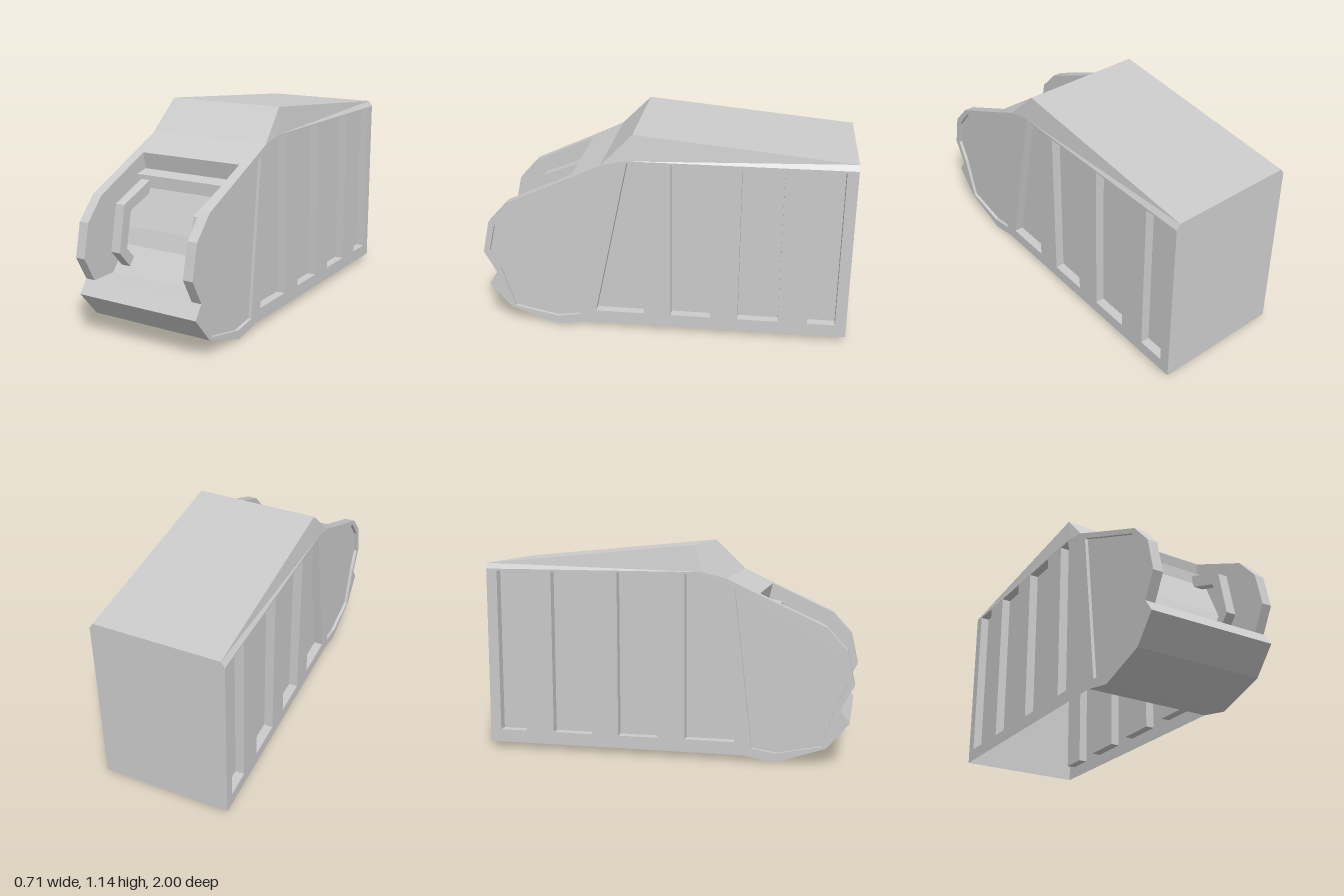
import * as THREE from 'three';

const W = 0.355, ROOF = 0.335, INNER = 0.30; // half widths
const mat = new THREE.MeshStandardMaterial({ color: 0xcccccc, flatShading: true, side: THREE.DoubleSide });

function mesh(name, geo) {
  const m = new THREE.Mesh(geo, mat);
  m.name = name;
  return m;
}

// Geometry from a list of four-cornered faces
function quads(list) {
  const pos = [];
  for (const [a, b, c, d] of list) pos.push(...a, ...b, ...c, ...a, ...c, ...d);
  const g = new THREE.BufferGeometry();
  g.setAttribute('position', new THREE.Float32BufferAttribute(pos, 3));
  g.computeVertexNormals();
  return g;
}

// Sheet following a [z, y] path between x0 and x1; a third entry overrides the half width
function band(pts, x0, x1) {
  const at = (p, x) => [p[2] ? Math.sign(x) * p[2] : x, p[1], p[0]];
  return quads(pts.slice(1).map((q, i) => [at(pts[i], x0), at(pts[i], x1), at(q, x1), at(q, x0)]));
}

// Flat panel in the plane of constant x, outlined by [z, y] points
const toV2 = (pts) => pts.map(([z, y]) => new THREE.Vector2(-z, y));
function panel(pts, x, holes = []) {
  const s = new THREE.Shape(toV2(pts));
  for (const h of holes) s.holes.push(new THREE.Path(toV2(h)));
  return new THREE.ShapeGeometry(s).rotateY(Math.PI / 2).translate(x, 0, 0);
}

// Walls running round an outline from x0 to x1
function reveal(pts, x0, x1) {
  return quads(pts.map((p, i) => {
    const q = pts[(i + 1) % pts.length];
    return [[x0, p[1], p[0]], [x0, q[1], q[0]], [x1, q[1], q[0]], [x1, p[1], p[0]]];
  }));
}

export function createModel() {
  const model = new THREE.Group();
  model.name = 'vehicleBody';

  // Profile pieces, running from the bottom front up and over to the back
  const bumper = [[0.43, 0.03], [0.59, 0], [0.86, 0.09], [0.98, 0.23], [0.93, 0.30]];
  const cheekEdge = [[0.93, 0.30], [1.0, 0.43], [0.96, 0.61], [0.85, 0.73], [0.50, 0.89]];
  const hood = [[0.50, 0.89], [0.33, 0.97]];
  const roof = [[0.33, 0.97, W], [0.16, 1.14, ROOF], [-1, 1.03, ROOF]];
  const back = [[-1, 1.03, ROOF], [-1, 1.0, W], [-1, 0.03, W]];
  const shoulder = [[0.33, 0.97], [0.2, 1.0], [-1, 1.0]];
  // Front bay: floor, bent panel, ledge and top wall
  const bay = [[0.93, 0.30], [0.78, 0.30], [0.68, 0.43], [0.65, 0.52], [0.56, 0.72],
    [0.56, 0.785], [0.48, 0.80], [0.50, 0.89]];

  model.add(mesh('bumper', band(bumper, -W, W)));
  model.add(mesh('hood', band(hood, -W, W)));
  model.add(mesh('roof', band(roof, -W, W)));
  model.add(mesh('backWall', band(back, -W, W)));
  model.add(mesh('frontBay', band(bay, -INNER, INNER)));

  // Recesses in the side wall
  const window = (zFrontTop, zFrontBottom, zBack) =>
    [[zFrontTop, 0.99], [zFrontBottom, 0.10], [zBack, 0.10], [zBack, 0.99]];
  const recesses = [
    ['sideRecess', 0.05, window(0.19, 0.38, 0.11)],
    ['sideRecess', 0.05, window(-0.04, -0.04, -0.26)],
    ['sideRecess', 0.05, window(-0.41, -0.41, -0.63)],
    ['sideRecess', 0.05, window(-0.79, -0.79, -0.94)],
    ['frontSidePanel', 0.018, [[0.375, 0.915], [0.83, 0.71], [0.93, 0.59], [0.965, 0.44],
      [0.91, 0.33], [0.84, 0.10], [0.60, 0.05], [0.47, 0.07]]],
  ];

  // Bent bar in front of the bay panel
  const bar = [[0.52, 0.765], [0.57, 0.76], [0.78, 0.675], [0.83, 0.43], [0.72, 0.305],
    [0.68, 0.345], [0.77, 0.44], [0.73, 0.635], [0.52, 0.71]];

  for (const s of [1, -1]) {
    const side = new THREE.Group();
    side.name = s > 0 ? 'leftSide' : 'rightSide';
    side.scale.x = s;

    const outline = [...bumper, ...cheekEdge.slice(1), ...shoulder, [-1, 0.03]];
    side.add(mesh('sideWall', panel(outline, W, recesses.map((r) => r[2]))));
    for (const [name, depth, pts] of recesses) {
      side.add(mesh(name, panel(pts, W - depth)));
      side.add(mesh(name + 'Edge', reveal(pts, W - depth, W)));
    }

    // Slanted strip up to the roof edge
    const [a, b, c] = shoulder.map(([z, y]) => [W, y, z]);
    const front = [ROOF, 1.14, 0.16], rear = [ROOF, 1.03, -1];
    side.add(mesh('shoulder', quads([[b, c, rear, front], [a, b, front, front]])));

    // Rim and inner wall beside the bay
    side.add(mesh('cheekRim', band(cheekEdge, INNER, W)));
    side.add(mesh('cheekInnerWall', panel([...cheekEdge, ...bay.slice(1, -1).reverse()], INNER)));

    const barGeo = new THREE.ExtrudeGeometry(new THREE.Shape(toV2(bar)), { depth: 0.055, bevelEnabled: false });
    side.add(mesh('bayBar', barGeo.rotateY(Math.PI / 2).translate(0.212, 0, 0)));
    model.add(side);
  }
  return model;
}
